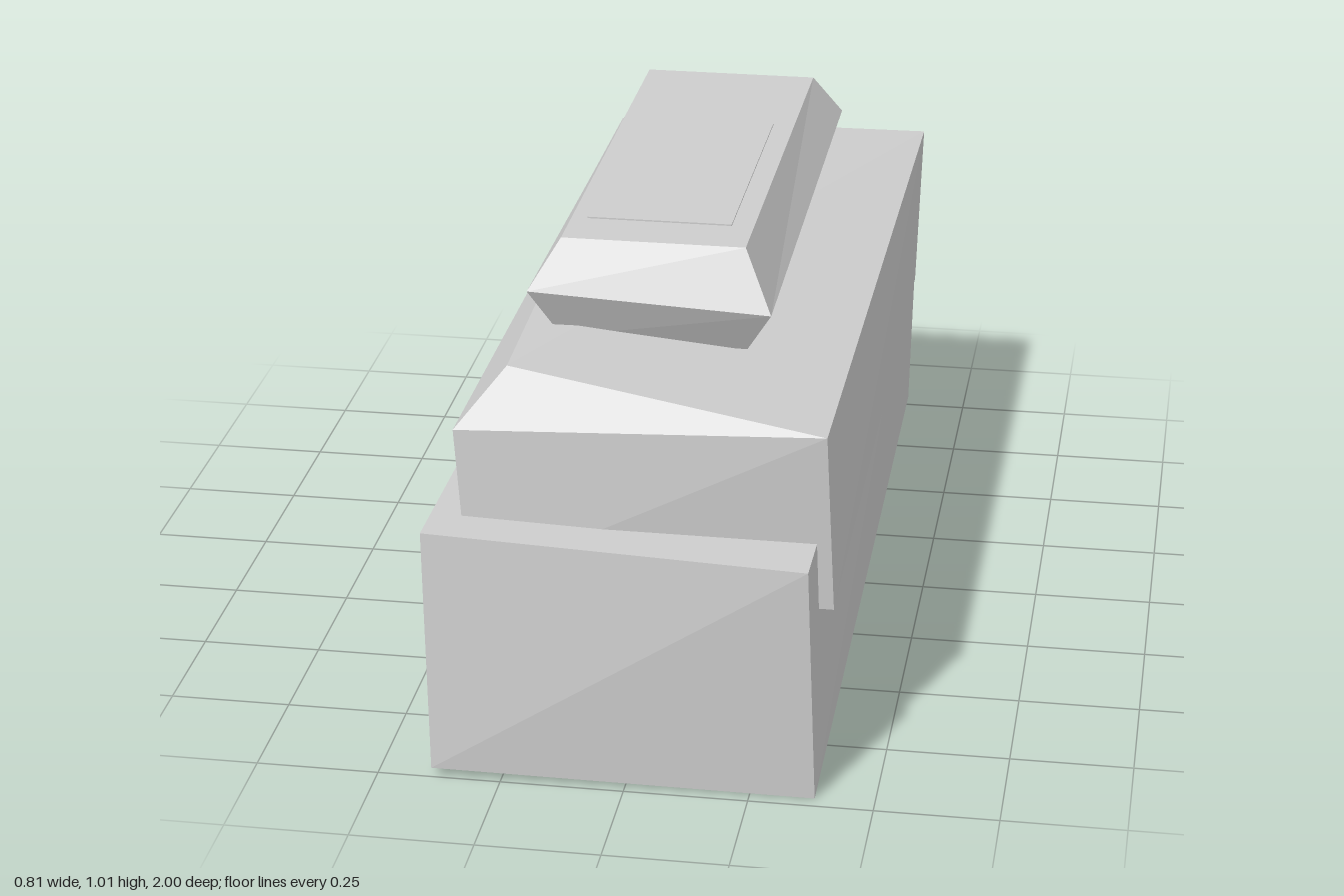
import * as THREE from 'three';

// Stacks four-cornered rings (front left, front right, back right, back left in view order),
// bottom to top, into a closed flat-faced block.
function block(name, rings, material) {
  const pos = [];
  const tri = (a, b, c) => {
    const same = (p, q) => p.every((v, i) => v === q[i]);
    if (!same(a, b) && !same(b, c) && !same(a, c)) pos.push(...a, ...b, ...c);
  };
  const quad = (a, b, c, d) => { tri(a, b, c); tri(a, c, d); };
  for (let r = 0; r < rings.length - 1; r++) {
    const lo = rings[r], hi = rings[r + 1];
    for (let i = 0; i < 4; i++) {
      const j = (i + 1) % 4;
      quad(lo[i], lo[j], hi[j], hi[i]);
    }
  }
  quad(...rings[rings.length - 1]);
  quad(...[...rings[0]].reverse());
  const geometry = new THREE.BufferGeometry();
  geometry.setAttribute('position', new THREE.Float32BufferAttribute(pos, 3));
  geometry.computeVertexNormals();
  const mesh = new THREE.Mesh(geometry, material);
  mesh.name = name;
  return mesh;
}

export function createModel() {
  const group = new THREE.Group();
  group.name = 'steppedBlocks';
  const grey = new THREE.MeshStandardMaterial({ color: 0xcccccc, flatShading: true });
  grey.name = 'light grey';

  // Large base, slightly skewed at alternate corners
  group.add(block('base', [
    [[-0.39, 0.02, 1], [0.38, 0, 0.97], [0.365, 0.02, -1], [-0.405, 0, -0.97]],
    [[-0.405, 0.525, 0.97], [0.365, 0.51, 1], [0.38, 0.525, -0.97], [-0.39, 0.51, -1]],
  ], grey));

  // Middle block, with one front corner pulled up into a raised peak
  const right = [0.385, 0.745, 0.885], backRight = [0.4, 0.763, -0.863], backLeft = [-0.325, 0.748, -0.89];
  group.add(block('middleBlock', [
    [[-0.33, 0.38, 0.885], [0.4, 0.365, 0.86], [0.385, 0.38, -0.885], [-0.345, 0.365, -0.86]],
    [[-0.357, 0.705, 0.868], right, backRight, backLeft],
    [[-0.26, 0.82, 0.8], right, backRight, backLeft],
  ], grey));

  // Upper block, bulging at its waist
  group.add(block('upperBlock', [
    [[-0.2, 0.78, 0.54], [0.18, 0.775, 0.54], [0.175, 0.785, -0.54], [-0.2, 0.775, -0.54]],
    [[-0.26, 0.895, 0.595], [0.235, 0.872, 0.595], [0.235, 0.897, -0.597], [-0.26, 0.872, -0.597]],
    [[-0.2, 0.992, 0.535], [0.175, 0.992, 0.535], [0.175, 0.992, -0.54], [-0.2, 0.992, -0.54]],
  ], grey));

  // Thin plate floating just above the top
  const plate = new THREE.Mesh(new THREE.BoxGeometry(0.295, 0.003, 0.62), grey);
  plate.name = 'topPlate';
  plate.position.set(-0.0125, 1.008, 0.147);
  group.add(plate);

  return group;
}
